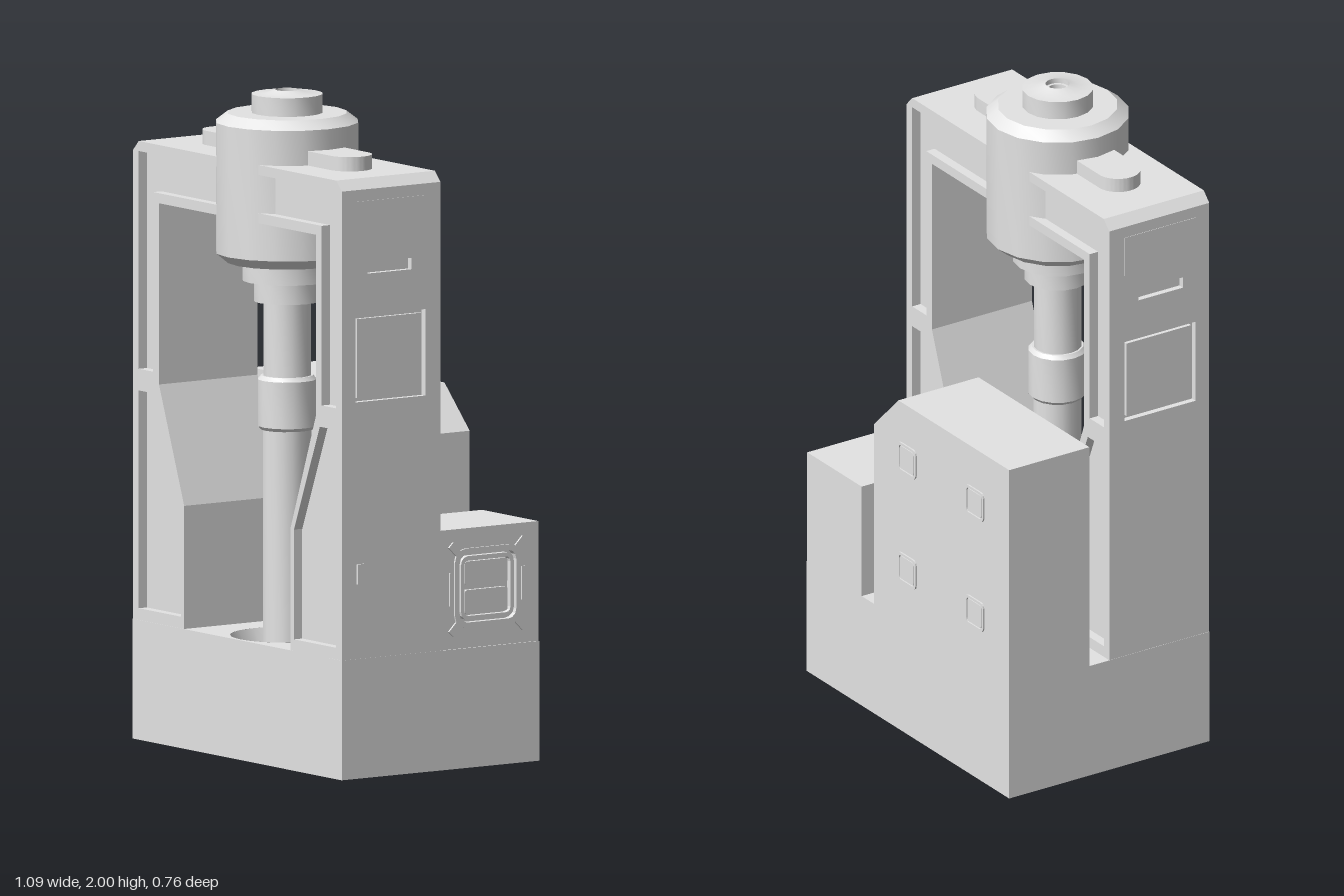
import * as THREE from 'three';
import { toCreasedNormals } from 'three/addons/utils/BufferGeometryUtils.js';

const AXIS_Z = 0.163; // z of the vertical spindle

export function createModel() {
  const model = new THREE.Group();
  model.name = 'press';
  const metal = new THREE.MeshStandardMaterial({ color: 0xe4e4e4 });
  metal.name = 'light grey metal';
  const openMetal = metal.clone();
  openMetal.side = THREE.DoubleSide;
  openMetal.name = 'light grey metal, open';

  const add = (name, geo, mat = metal) => {
    const mesh = new THREE.Mesh(geo, mat);
    mesh.name = name;
    model.add(mesh);
    return mesh;
  };
  const box = (name, x0, x1, y0, y1, z0, z1) =>
    add(name, new THREE.BoxGeometry(x1 - x0, y1 - y0, z1 - z0)
      .translate((x0 + x1) / 2, (y0 + y1) / 2, (z0 + z1) / 2));
  const extrude = (shape, depth) =>
    new THREE.ExtrudeGeometry(shape, { depth, bevelEnabled: false, curveSegments: 16 });
  // Points in a fixed turning direction, so outlines and hole walls face the right way
  const vec = (pts) => pts.map(([x, y]) => new THREE.Vector2(x, y));
  const turned = (pts, sign) => {
    const v = vec(pts);
    return THREE.ShapeUtils.area(v) * sign < 0 ? v.reverse() : v;
  };
  const shapeOf = (pts, holes = []) => {
    const s = new THREE.Shape(turned(pts, 1));
    s.holes = holes.map((h) => new THREE.Path(turned(h, -1)));
    return s;
  };
  const mirror = (pts) => pts.map(([x, y]) => [-x, y]);
  const rect = (u0, u1, v0, v1) => [[u0, v0], [u1, v0], [u1, v1], [u0, v1]];
  // Rectangle with round corners
  const roundRect = (cu, cv, hu, hv, r) => {
    const pts = [];
    for (let c = 0; c < 4; c++) {
      const su = c === 0 || c === 3 ? 1 : -1, sv = c < 2 ? 1 : -1;
      for (let k = 0; k <= 3; k++) {
        const a = (c + k / 3) * Math.PI / 2;
        pts.push([cu + su * (hu - r) + r * Math.cos(a), cv + sv * (hv - r) + r * Math.sin(a)]);
      }
    }
    return pts;
  };
  // Plate on a side wall: outline in (z, y), from x0 outward by depth
  const sidePlate = (name, side, pts, holes, x0, depth) => {
    const flip = (p) => p.map(([z, y]) => [-side * z, y]);
    return add(name, extrude(shapeOf(flip(pts), holes.map(flip)), depth)
      .translate(0, 0, x0).rotateY(side * Math.PI / 2));
  };
  const lathe = (name, pts, mat) =>
    add(name, toCreasedNormals(new THREE.LatheGeometry(vec(pts), 16), 0.6)
      .translate(0, 0, AXIS_Z), mat);

  // Base with a conical pit under the spindle
  box('baseLower', -0.54, 0.54, 0, 0.2, -0.375, 0.345);
  const top = shapeOf(rect(-0.54, 0.54, -0.345, 0.375));
  const pit = new THREE.Path();
  pit.absarc(0, -AXIS_Z, 0.17, 0, Math.PI * 2, true);
  top.holes.push(pit);
  add('baseUpper', extrude(top, 0.16).rotateX(-Math.PI / 2).translate(0, 0.2, 0));
  lathe('pitWall', [[0.1, 0.21], [0.17, 0.36]], openMetal);
  add('pitFloor', new THREE.CircleGeometry(0.12, 16).rotateX(-Math.PI / 2).translate(0, 0.21, AXIS_Z));

  // Rear tower with a sloping corner, and four framed buttons
  add('rearTower', extrude(shapeOf([[-0.54, 0.36], [0.18, 0.36], [0.18, 0.95], [0.05, 1.08], [-0.54, 1.08]]), 0.288)
    .translate(0, 0, -0.375));
  for (const x of [-0.36, 0]) for (const y of [0.54, 0.902]) {
    add('buttonFrame', extrude(shapeOf(roundRect(x, y, 0.048, 0.048, 0.015),
      [roundRect(x, y, 0.04, 0.04, 0.011)]), 0.006).translate(0, 0, -0.38));
    add('buttonFace', extrude(shapeOf(roundRect(x, y, 0.037, 0.037, 0.009)), 0.006).translate(0, 0, -0.379));
  }

  // Side cabinet with a framed vent
  const vz = -0.187, vy = 0.54;
  box('sideCabinet', 0.245, 0.52, 0.36, 0.72, -0.375, -0.015);
  sidePlate('cabinetWall', 1, rect(-0.375, -0.015, 0.36, 0.72),
    [roundRect(vz, vy, 0.107, 0.107, 0.03)], 0.52, 0.015);
  sidePlate('ventFrame', 1, roundRect(vz, vy, 0.12, 0.12, 0.04),
    [roundRect(vz, vy, 0.103, 0.103, 0.028)], 0.522, 0.019);
  sidePlate('ventInnerFrame', 1, roundRect(vz, vy, 0.096, 0.096, 0.025),
    [roundRect(vz, vy, 0.084, 0.084, 0.016)], 0.519, 0.019);
  for (const dy of [-0.043, 0.043])
    sidePlate('ventPanel', 1, roundRect(vz, vy + dy, 0.078, 0.036, 0.008), [], 0.519, 0.013);
  for (const sz of [-1, 1]) {
    box('ventTab', 0.53, 0.539, vy - 0.05, vy + 0.05, vz + sz * 0.131 - 0.006, vz + sz * 0.131 + 0.006);
    for (const sy of [-1, 1]) {
      const clip = add('ventClip', new THREE.BoxGeometry(0.014, 0.022, 0.045));
      clip.position.set(0.534, vy + sy * 0.118, vz + sz * 0.118);
      clip.rotation.x = -sz * sy * Math.PI / 4;
    }
  }

  // Gantry: core, with bordered panels on front and back
  const inner = [[0.275, 0.36], [0.275, 0.73], [0.405, 1.08], [0.405, 1.625]];
  const outer = [[0.51, 1.8], [0.539, 1.77], [0.539, 0.36]];
  const notched = [...outer.slice(0, 2), [0.539, 1.6], [0.52, 1.6], [0.52, 1.05], [0.539, 1.05], outer[2]];
  const archOutline = (edge) => [...mirror(edge).reverse(), ...edge, ...inner, ...mirror(inner).reverse()];
  const archPanel = [[-0.51, 1.115], [-0.51, 1.77], [0.51, 1.77], [0.51, 1.115],
    [0.435, 1.115], [0.435, 1.655], [-0.435, 1.655], [-0.435, 1.115]];
  const legPanel = [[0.51, 0.395], [0.51, 1.05], [0.425, 1.05], [0.292, 0.725], [0.292, 0.395]];
  add('gantryCore', extrude(shapeOf(archOutline(notched)), 0.299).translate(0, 0, 0.015));
  for (const z of [-0.015, 0.314])
    add('gantryBorder', extrude(shapeOf(archOutline(outer), [archPanel, legPanel, mirror(legPanel)]), 0.03)
      .translate(0, 0, z));

  // Recessed hatch and slot on each side of the gantry
  for (const side of [-1, 1]) {
    sidePlate('legSideWall', side, rect(0.015, 0.314, 1.05, 1.6),
      [rect(0.04, 0.295, 1.132, 1.392), rect(0.09, 0.25, 1.516, 1.55)], 0.52, 0.019);
    sidePlate('hatch', side, rect(0.051, 0.284, 1.143, 1.381), [], 0.52, 0.012);
    sidePlate('upperPlate', side, rect(0.04, 0.295, 1.61, 1.735), [], 0.539, 0.0015);
  }
  box('sideLatch', 0.538, 0.545, 0.585, 0.645, 0.265, 0.29);

  // Long rounded pad across the top of the gantry
  const pad = new THREE.Shape();
  pad.absarc(0.322, -AXIS_Z, 0.067, -Math.PI / 2, Math.PI / 2);
  pad.absarc(-0.322, -AXIS_Z, 0.067, Math.PI / 2, Math.PI * 1.5);
  add('topPad', toCreasedNormals(extrude(pad, 0.043), 0.6).rotateX(-Math.PI / 2).translate(0, 1.8, 0));

  // Motor housing, stepped neck and cap with a hollow tip
  lathe('motorHousing', [[0, 1.365], [0.1, 1.365], [0.1, 1.428], [0.135, 1.428], [0.135, 1.483], [0.18, 1.483],
    [0.215, 1.512], [0.215, 1.905], [0.18, 1.932], [0.107, 1.932], [0.107, 1.988], [0.065, 1.99],
    [0.036, 2.0], [0.036, 1.985], [0.027, 1.985], [0.027, 1.965], [0, 1.965]]);

  // Spindle with its collar
  lathe('spindle', [[0, 0.2], [0.073, 0.2], [0.073, 0.98], [0.08, 0.98], [0.088, 0.99], [0.088, 1.13],
    [0.078, 1.142], [0.072, 1.142], [0.072, 1.38]]);

  return model;
}
